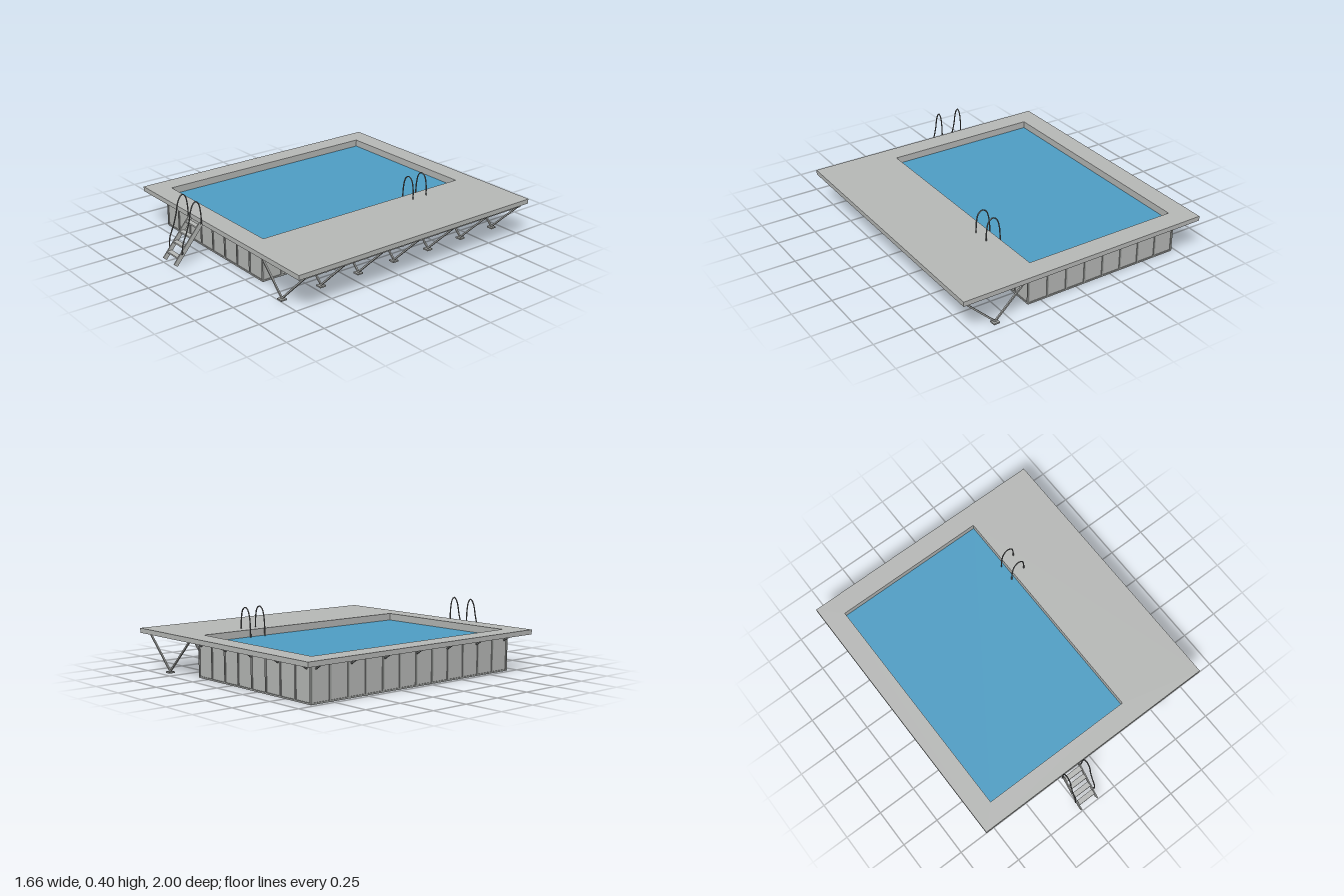
import * as THREE from 'three';

const mat = (name, color) => {
  const m = new THREE.MeshStandardMaterial({ color });
  m.name = name;
  return m;
};

export function createModel() {
  const model = new THREE.Group();
  model.name = 'raisedPool';
  const grey = mat('deckGrey', 0xb8bab8);
  const frame = mat('frameGrey', 0x9c9e9c);
  const rail = mat('railGrey', 0x6c6e6e);
  const blue = mat('waterBlue', 0x4f9fc6);
  const navy = mat('linerBlue', 0x2a689e);

  const group = (name) => {
    const g = new THREE.Group();
    g.name = name;
    model.add(g);
    return g;
  };
  // Box given by its lower and upper corners
  const box = (parent, name, m, a, b) => {
    const mesh = new THREE.Mesh(new THREE.BoxGeometry(b[0] - a[0], b[1] - a[1], b[2] - a[2]), m);
    mesh.position.set((a[0] + b[0]) / 2, (a[1] + b[1]) / 2, (a[2] + b[2]) / 2);
    mesh.name = name;
    parent.add(mesh);
  };
  // Square bar running from point a to point b
  const bar = (parent, name, m, a, b, w, h = w) => {
    const p = new THREE.Vector3(...a), q = new THREE.Vector3(...b);
    const mesh = new THREE.Mesh(new THREE.BoxGeometry(w, h, p.distanceTo(q)), m);
    mesh.position.copy(p).add(q).multiplyScalar(0.5);
    mesh.lookAt(q);
    mesh.name = name;
    parent.add(mesh);
  };
  const tube = (parent, name, points, r) => {
    const path = new THREE.CatmullRomCurve3(points.map((p) => new THREE.Vector3(...p)));
    const mesh = new THREE.Mesh(new THREE.TubeGeometry(path, 40, r, 8), rail);
    mesh.name = name;
    parent.add(mesh);
  };

  // Deck slab with the pool opening
  const rect = (T, x0, x1, z0, z1) => new T().moveTo(x0, -z1).lineTo(x1, -z1)
    .lineTo(x1, -z0).lineTo(x0, -z0).closePath();
  const slab = rect(THREE.Shape, -0.83, 0.83, -1, 0.79);
  slab.holes.push(rect(THREE.Path, -0.70, 0.315, -0.87, 0.66));
  const deck = new THREE.Mesh(
    new THREE.ExtrudeGeometry(slab, { depth: 0.03, bevelEnabled: false }).rotateX(-Math.PI / 2), grey);
  deck.position.y = 0.23;
  deck.name = 'deck';
  model.add(deck);

  // Pool tank
  const X0 = -0.725, X1 = 0.34, Z0 = -0.895, Z1 = 0.685;
  const tank = group('tank');
  box(tank, 'leftWall', grey, [X1 - 0.025, 0.005, Z0 + 0.005], [X1 - 0.005, 0.23, Z1 - 0.005]);
  box(tank, 'rightWall', grey, [X0 + 0.005, 0.005, Z0 + 0.005], [X0 + 0.025, 0.23, Z1 - 0.005]);
  box(tank, 'frontWall', grey, [X0 + 0.025, 0.005, Z1 - 0.025], [X1 - 0.025, 0.23, Z1 - 0.005]);
  box(tank, 'backWall', grey, [X0 + 0.025, 0.005, Z0 + 0.005], [X1 - 0.025, 0.23, Z0 + 0.025]);
  box(tank, 'floor', navy, [X0 + 0.006, 0.001, Z0 + 0.006], [X1 - 0.006, 0.009, Z1 - 0.006]);
  box(tank, 'water', blue, [X0 + 0.024, 0.207, Z0 + 0.024], [X1 - 0.024, 0.215, Z1 - 0.024]);

  // Wall posts and rails
  const ribs = group('wallFrame');
  const t = 0.006, w = 0.006;
  for (let i = 0; i <= 8; i++) {
    const x = X0 + w + (X1 - X0 - 2 * w) * i / 8;
    for (const z of [Z0, Z1 - t]) box(ribs, 'post', frame, [x - w, 0, z], [x + w, 0.23, z + t]);
  }
  for (let i = 0; i <= 12; i++) {
    const z = Z0 + w + (Z1 - Z0 - 2 * w) * i / 12;
    for (const x of [X0, X1 - t]) box(ribs, 'post', frame, [x, 0, z - w], [x + t, 0.23, z + w]);
  }
  for (const y of [0, 0.219]) {
    for (const z of [Z0, Z1 - t]) box(ribs, 'rail', frame, [X0, y, z], [X1, y + 0.01, z + t]);
    for (const x of [X0, X1 - t]) box(ribs, 'rail', frame, [x, y, Z0], [x + t, y + 0.01, Z1]);
  }

  // Brackets under the narrow overhangs
  const brackets = group('brackets');
  for (let i = 0; i < 5; i++) {
    const x = -0.69 + i * 0.248;
    bar(brackets, 'bracket', rail, [x, 0.195, Z1], [x, 0.228, Z1 + 0.05], 0.008);
    bar(brackets, 'bracket', rail, [x, 0.195, Z0], [x, 0.228, Z0 - 0.05], 0.008);
  }
  for (let i = 0; i < 7; i++) {
    const z = Z0 + 0.035 + i * 0.2517;
    bar(brackets, 'bracket', rail, [X0, 0.195, z], [X0 - 0.055, 0.228, z], 0.008);
  }

  // Wide deck: V-shaped legs with feet
  const supports = group('deckSupports');
  const step = 0.278, zFirst = -0.938;
  for (let i = 0; i < 7; i++) {
    const z = zFirst + i * step;
    bar(supports, 'strut', frame, [0.59, 0.01, z], [0.365, 0.224, z], 0.01);
    bar(supports, 'strut', frame, [0.59, 0.01, z], [0.812, 0.224, z], 0.01);
    box(supports, 'foot', frame, [0.57, 0, z - 0.02], [0.61, 0.009, z + 0.02]);
  }
  // Joists and zigzag braces
  for (let i = 0; i <= 12; i++) {
    const z = zFirst + i * step / 2;
    box(supports, 'joist', frame, [0.342, 0.217, z - 0.007], [0.82, 0.231, z + 0.007]);
    if (i === 12) continue;
    const [a, b] = i % 2 ? [0.81, 0.35] : [0.35, 0.81];
    bar(supports, 'brace', frame, [a, 0.225, z], [b, 0.225, z + step / 2], 0.008);
  }
  for (const x of [0.347, 0.815]) {
    box(supports, 'stringer', frame, [x - 0.005, 0.219, -0.945], [x + 0.005, 0.231, 0.737]);
  }

  // Outside steps
  const ladder = group('entryLadder');
  const xs = [-0.257, -0.133];
  for (const x of xs) {
    bar(ladder, 'ladderSide', grey, [x, 0.242, 0.797], [x, 0.016, 0.987], 0.007, 0.03);
  }
  for (const [y, z] of [[0.222, 0.818], [0.167, 0.863], [0.112, 0.909], [0.058, 0.954]]) {
    box(ladder, 'tread', grey, [xs[0], y - 0.005, z - 0.016], [xs[1], y + 0.005, z + 0.016]);
  }
  for (const [x, side] of [[-0.268, 1], [-0.12, -1]]) {
    tube(ladder, 'ladderHandrail', [
      [x, 0.08, 0.945], [x, 0.14, 0.938], [x, 0.21, 0.91], [x, 0.28, 0.888], [x, 0.345, 0.874],
      [x, 0.383, 0.856], [x, 0.396, 0.838], [x, 0.378, 0.819], [x, 0.32, 0.806], [x, 0.245, 0.803],
    ], 0.004);
    // Short links from handrail to ladder
    bar(ladder, 'link', rail, [x, 0.085, 0.942], [x + side * 0.012, 0.085, 0.935], 0.008);
    bar(ladder, 'link', rail, [x, 0.25, 0.803], [x + side * 0.012, 0.24, 0.8], 0.008);
  }

  // Arched handrails at the pool edge
  const arches = group('poolHandrails');
  for (const z of [-0.54, -0.43]) {
    tube(arches, 'archRail', [
      [0.293, 0.212, z], [0.295, 0.27, z], [0.301, 0.33, z], [0.318, 0.38, z], [0.345, 0.397, z],
      [0.373, 0.38, z], [0.387, 0.33, z], [0.39, 0.255, z],
    ], 0.004);
  }
  return model;
}
